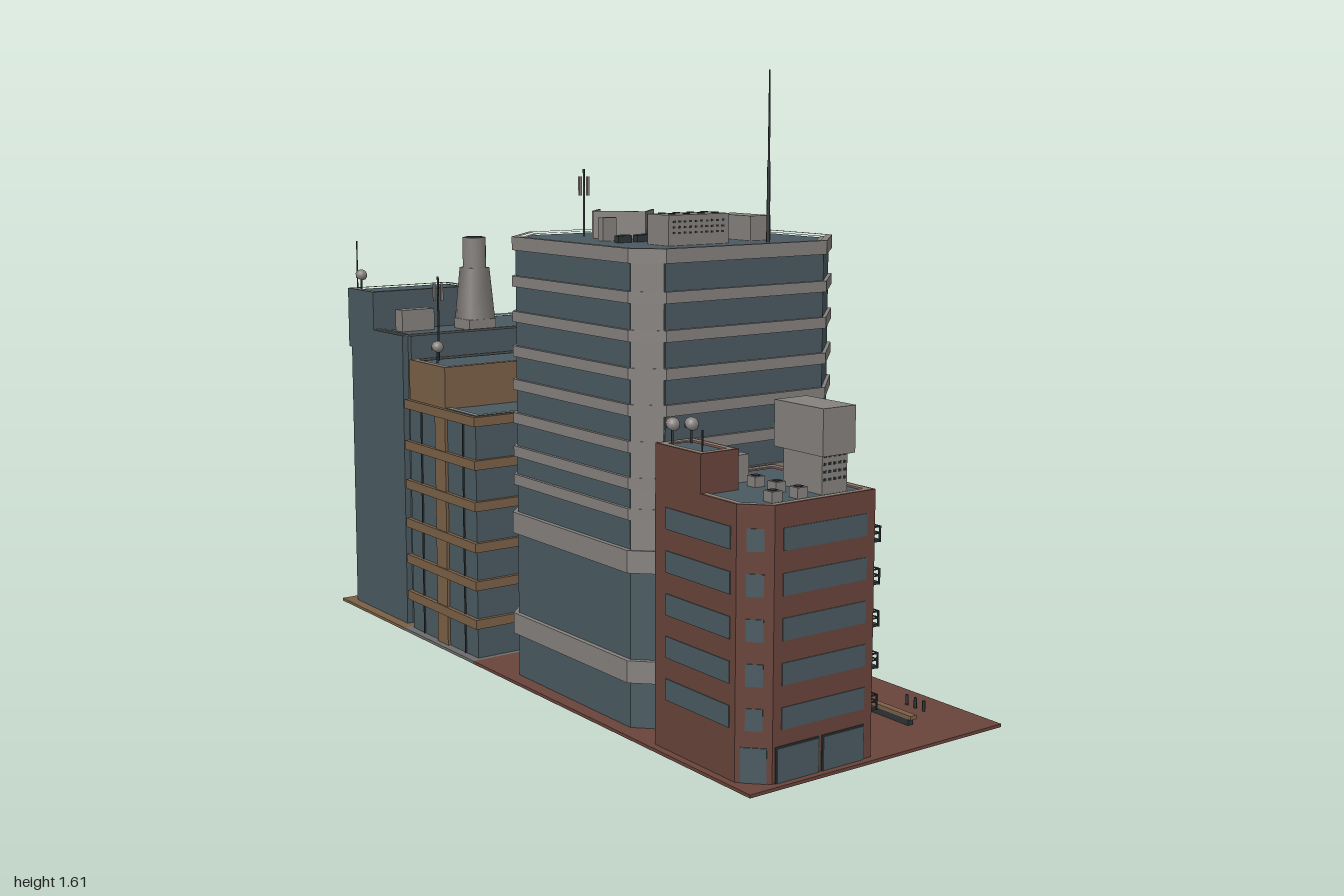
import * as THREE from 'three';

const mat = (name, color) => Object.assign(new THREE.MeshStandardMaterial({ color }), { name });
const glass = mat('slate teal', 0x4a5a60), grey = mat('concrete grey', 0x85817e), brick = mat('brick red', 0x68433a),
  tan = mat('tan stone', 0x7a6046), dark = mat('dark metal', 0x2e3436), paving = mat('paving grey', 0x6c6c6c);

function add(parent, name, geo, m, x = 0, y = 0, z = 0) {
  const mesh = new THREE.Mesh(geo, m);
  mesh.name = name;
  mesh.position.set(x, y, z);
  parent.add(mesh);
  return mesh;
}
// Box given by its limits
const box = (p, name, m, x0, x1, y0, y1, z0, z1) =>
  add(p, name, new THREE.BoxGeometry(x1 - x0, y1 - y0, z1 - z0), m, (x0 + x1) / 2, (y0 + y1) / 2, (z0 + z1) / 2);
// Box standing on y, centred on x and z
const unit = (p, name, m, x, y, z, w, h, d) => box(p, name, m, x - w / 2, x + w / 2, y, y + h, z - d / 2, z + d / 2);
const rod = (p, name, m, x, y0, y1, z, r, r2 = r, n = 8) =>
  add(p, name, new THREE.CylinderGeometry(r2, r, y1 - y0, n), m, x, (y0 + y1) / 2, z);

// Rectangle with cut corners c = [-x-z, +x-z, +x+z, -x+z], grown by g
function plan([x0, x1, z0, z1, c = [0, 0, 0, 0]], g = 0) {
  x0 -= g; x1 += g; z0 -= g; z1 += g;
  const [a, b, d, e] = c.map(v => (v ? Math.max(v + 0.586 * g, 0.002) : 0));
  const pts = [[x0, z0 + a], [x0 + a, z0], [x1 - b, z0], [x1, z0 + b], [x1, z1 - d], [x1 - d, z1], [x0 + e, z1], [x0, z1 - e]];
  return pts.filter((q, i) => { const r = pts[(i + 7) % 8]; return q[0] !== r[0] || q[1] !== r[1]; })
    .map(q => new THREE.Vector2(q[0], -q[1]));
}
function prism(p, name, m, foot, y0, y1, g = 0, hole = null) {
  const s = new THREE.Shape(plan(foot, g));
  if (hole !== null) s.holes.push(new THREE.Path(plan(foot, hole)));
  const geo = new THREE.ExtrudeGeometry(s, { depth: y1 - y0, bevelEnabled: false });
  return add(p, name, geo.rotateX(-Math.PI / 2), m, 0, y0, 0);
}
// Solid block with a teal roof and a raised grey coping set in from the edge
function block(p, name, m, foot, y0, y1, inset = 0.008, w = 0.012) {
  prism(p, name + 'Walls', m, foot, y0, y1 - 0.006);
  prism(p, name + 'Parapet', m, foot, y1 - 0.006, y1, 0, -inset);
  prism(p, name + 'Coping', grey, foot, y1 - 0.008, y1, -inset, -inset - w);
  prism(p, name + 'Roof', glass, foot, y1 - 0.007, y1 - 0.004, -inset - w);
}
function mast(p, x, y0, y1, z) {
  rod(p, 'mast', dark, x, y0, y1, z, 0.003);
  for (const s of [-1, 1]) unit(p, 'antennaPanel', grey, x + s * 0.009, y1 - 0.07, z + s * 0.005, 0.007, 0.05, 0.007);
}
function dish(p, x, y, z) {
  rod(p, 'dishPole', dark, x, y, y + 0.04, z, 0.003);
  const d = add(p, 'dish', new THREE.SphereGeometry(0.018, 12, 5, 0, Math.PI * 2, 0, Math.PI / 2), grey, x, y + 0.045, z);
  d.material = grey;
  d.rotation.set(0.9, 0.6, 0);
  rod(p, 'dishHub', dark, x, y + 0.038, y + 0.046, z, 0.016, 0.016, 12);
}
function vent(p, x, y, z, w = 0.03, h = 0.025, d = 0.03) {
  unit(p, 'roofVent', grey, x, y, z, w, h, d);
  unit(p, 'ventGrille', dark, x, y + h, z, w * 0.6, 0.002, d * 0.6);
}

function brickBuilding() {
  const g = new THREE.Group(); g.name = 'brickBuilding';
  block(g, 'brick', brick, [-0.38, -0.02, 0.617, 0.98, [0, 0, 0, 0.06]], 0, 0.648);
  block(g, 'stairHead', brick, [-0.38, -0.27, 0.617, 0.79], 0.64, 0.74);
  for (let i = 0; i < 5; i++) {
    const y = 0.13 + i * 0.103, h = y + 0.052;
    box(g, 'frontWindow', glass, -0.295, -0.045, y, h, 0.978, 0.982);
    box(g, 'sideWindow', glass, -0.022, -0.018, y, h, 0.9, 0.955);
    box(g, 'sideDoor', glass, -0.022, -0.018, y, h, 0.77, 0.87);
    box(g, 'leftWindow', glass, -0.382, -0.378, y, h, 0.66, 0.9);
    const c = unit(g, 'cornerWindow', glass, -0.35, y, 0.95, 0.04, 0.052, 0.004);
    c.rotation.y = -Math.PI / 4;
  }
  // Shop fronts
  for (const [a, b] of [[-0.312, -0.182], [-0.174, -0.044]]) {
    box(g, 'shopFrame', dark, a, b, 0.008, 0.093, 0.978, 0.982);
    box(g, 'shopWindow', glass, a + 0.004, b - 0.004, 0.008, 0.089, 0.979, 0.984);
  }
  unit(g, 'cornerDoor', glass, -0.35, 0.008, 0.95, 0.06, 0.083, 0.005).rotation.y = -Math.PI / 4;
  // Rooftop plant
  box(g, 'plantBase', grey, -0.153, -0.077, 0.64, 0.74, 0.81, 0.945);
  box(g, 'plantTop', grey, -0.165, -0.067, 0.735, 0.845, 0.79, 0.96);
  for (let i = 0; i < 5; i++) for (let j = 0; j < 4; j++)
    unit(g, 'plantGrille', dark, -0.145 + i * 0.015, 0.675 + j * 0.018, 0.945, 0.007, 0.006, 0.004);
  for (const [x, z] of [[-0.21, 0.78], [-0.21, 0.855], [-0.21, 0.93], [-0.285, 0.93]]) vent(g, x, 0.644, z);
  box(g, 'roofDuct', grey, -0.23, -0.19, 0.644, 0.71, 0.7, 0.73);
  dish(g, -0.355, 0.74, 0.65); dish(g, -0.3, 0.735, 0.65);
  rod(g, 'aerial', dark, -0.36, 0.74, 0.79, 0.77, 0.002);

  // Fire escape: landings at both ends, joined by zigzag flights
  const esc = new THREE.Group(); esc.name = 'fireEscape'; g.add(esc);
  for (let i = 0; i < 10; i++) {
    const y = 0.035 + i * 0.0515, far = i % 2, z0 = far ? 0.86 : 0.745, z1 = z0 + 0.05;
    box(esc, 'landing', dark, -0.02, 0.065, y, y + 0.006, z0, z1);
    for (const h of [0.02, 0.036]) {
      box(esc, 'outerRail', dark, 0.062, 0.065, y + h, y + h + 0.003, z0, z1);
      const ze = far ? z1 : z0;
      box(esc, 'endRail', dark, -0.02, 0.065, y + h, y + h + 0.003, ze - 0.002, ze + 0.002);
    }
    for (const z of [z0, z1]) box(esc, 'railPost', dark, 0.061, 0.065, y, y + 0.039, z - 0.002, z + 0.002);
    if (i === 9) continue;
    const xa = far ? -0.015 : 0.025;
    for (let k = 1; k < 7; k++) {
      const t = k / 7, z = far ? 0.86 - 0.065 * t : 0.795 + 0.065 * t;
      unit(esc, 'tread', glass, xa + 0.018, y + 0.0515 * t, z, 0.036, 0.004, 0.012);
    }
    for (const x of [xa, xa + 0.036]) {
      const s = add(esc, 'stringer', new THREE.BoxGeometry(0.003, 0.008, 0.085), dark, x, y + 0.028, 0.8275);
      s.rotation.x = (far ? 1 : -1) * 0.67;
    }
  }
  return g;
}

function tower() {
  const g = new THREE.Group(); g.name = 'tower';
  const foot = [-0.36, 0.35, -0.16, 0.548, [0.135, 0.07, 0.155, 0.06]];
  prism(g, 'towerWalls', glass, foot, 0, 1.176);
  // Floor bands, the lower two deeper
  for (const y of [1.055, 0.963, 0.872, 0.784, 0.695, 0.606, 0.53]) prism(g, 'floorBand', grey, foot, y, y + 0.028, 0.009);
  for (const y of [0.4, 0.125]) prism(g, 'deepBand', grey, foot, y, y + 0.056, 0.013);
  prism(g, 'topBand', grey, foot, 1.15, 1.185, 0.009, -0.008);
  prism(g, 'roofKerb', grey, foot, 1.17, 1.181, -0.008, -0.022);
  // Corner piers on the two narrow cut corners
  for (const [x, z, w] of [[0.315, -0.125, 0.095], [-0.33, 0.518, 0.08]])
    unit(g, 'cornerPier', grey, x, 0.42, z, w, 0.75, 0.016).rotation.y = -Math.PI / 4;
  // Roof equipment
  const y = 1.176;
  box(g, 'coolingUnit', grey, -0.172, 0.017, y, 1.252, 0.3, 0.388);
  for (let i = 0; i < 4; i++) for (let j = 0; j < 2; j++)
    unit(g, 'coolingFan', dark, -0.145 + i * 0.045, 1.252, 0.322 + j * 0.043, 0.016, 0.003, 0.01);
  for (let i = 0; i < 10; i++) for (let j = 0; j < 3; j++)
    unit(g, 'coolingGrille', dark, -0.155 + i * 0.017, 1.205 + j * 0.014, 0.388, 0.007, 0.005, 0.003);
  box(g, 'plantRoom', grey, 0.113, 0.18, y, 1.24, 0.205, 0.358);
  const screen = new THREE.Group(); screen.name = 'plantScreen';
  screen.position.set(-0.07, y, 0.05); screen.rotation.y = Math.PI / 4; g.add(screen);
  box(screen, 'screenWall', grey, -0.065, -0.059, 0, 0.072, -0.07, 0.07);
  for (const s of [-1, 1]) box(screen, 'screenWall', grey, -0.06, s > 0 ? 0.06 : 0.03, 0, 0.072, s * 0.07 - 0.003, s * 0.07 + 0.003);
  unit(g, 'roofCabinet', grey, -0.183, y, 0.138, 0.042, 0.06, 0.022);
  for (let i = 0; i < 4; i++) {
    unit(g, 'condenser', dark, -0.19 + i * 0.058, y, 0.22, 0.042, 0.018, 0.018);
    unit(g, 'condenserTop', glass, -0.19 + i * 0.058, y + 0.018, 0.22, 0.034, 0.002, 0.01);
  }
  for (const [x, z] of [[0.06, 0.008], [0.125, 0.008], [0.2, 0.008], [0.2, 0.075]]) vent(g, x, y, z, 0.028, 0.016, 0.028);
  rod(g, 'tallMastBase', dark, 0.12, y, 1.38, 0.42, 0.005, 0.004);
  rod(g, 'tallMast', dark, 0.12, 1.38, 1.61, 0.42, 0.003, 0.002);
  mast(g, -0.135, y, 1.355, -0.04);
  return g;
}

function bandedBuilding() {
  const g = new THREE.Group(); g.name = 'bandedBuilding';
  const foot = [-0.375, 0.37, -0.585, -0.215];
  block(g, 'banded', glass, foot, 0, 0.688);
  for (const y of [0.66, 0.54, 0.425, 0.31, 0.203, 0.094]) prism(g, 'tanBand', tan, foot, y, y + 0.026, 0.012, -0.008);
  // Tan piers
  for (const s of [-1, 1]) {
    const x = s > 0 ? 0.372 : -0.377;
    unit(g, 'widePier', tan, x, 0, -0.398, 0.012, 0.68, 0.058);
    for (const z of [-0.28, -0.515]) unit(g, 'mullion', dark, x, 0, z, 0.005, 0.66, 0.003);
  }
  block(g, 'penthouse', tan, [-0.375, 0.037, -0.585, -0.38], 0.66, 0.802);
  box(g, 'penthouseDoor', glass, 0.035, 0.039, 0.69, 0.76, -0.53, -0.5);
  const y = 0.684;
  for (let i = 0; i < 5; i++) unit(g, 'pipeVent', grey, 0.125 + i * 0.05, y, -0.52, 0.028, 0.05, 0.016);
  box(g, 'ventPipe', dark, 0.11, 0.33, y, y + 0.012, -0.523, -0.517);
  for (const [x, z] of [[0.305, -0.435], [0.23, -0.38], [0.23, -0.305], [0.155, -0.38], [0.085, -0.38]]) vent(g, x, y, z, 0.03, 0.03);
  rod(g, 'slimMast', dark, 0.3, y, 1.04, -0.415, 0.002);
  mast(g, -0.3, 0.798, 1.04, -0.545);
  dish(g, -0.33, 0.798, -0.5);
  dish(g, 0.31, y, -0.255);
  return g;
}

function rearBuilding() {
  const g = new THREE.Group(); g.name = 'rearBuilding';
  // Walls notched at the corners
  block(g, 'rear', glass, [-0.352, 0.35, -0.975, -0.615], 0, 0.865);
  prism(g, 'rearSides', glass, [-0.37, 0.368, -0.957, -0.633], 0, 0.865, 0, -0.014);
  prism(g, 'sideCoping', grey, [-0.36, 0.358, -0.957, -0.633], 0.863, 0.868, 0, -0.01);
  block(g, 'upperBlock', glass, [-0.37, -0.025, -0.975, -0.812], 0.8, 0.978);
  // Doors on the side and back
  box(g, 'sideGateFrame', dark, 0.367, 0.3695, 0.008, 0.1, -0.9, -0.69);
  box(g, 'sideGate', glass, 0.367, 0.371, 0.008, 0.097, -0.897, -0.693);
  for (const x of [-0.15, 0, 0.15]) {
    unit(g, 'backDoorFrame', dark, x, 0.008, -0.975, 0.12, 0.085, 0.004);
    unit(g, 'backDoor', glass, x, 0.008, -0.976, 0.112, 0.081, 0.006);
  }
  // Chimney tower
  const y = 0.861;
  unit(g, 'chimneyPlinth', grey, -0.08, y, -0.712, 0.092, 0.03, 0.092);
  rod(g, 'chimneyBase', grey, -0.08, y + 0.03, 1.045, -0.712, 0.062, 0.046, 4).rotation.y = Math.PI / 4;
  rod(g, 'chimneyStack', grey, -0.08, 1.045, 1.135, -0.712, 0.035, 0.035, 16);
  rod(g, 'chimneyOpening', dark, -0.08, 1.135, 1.137, -0.712, 0.026, 0.026, 16);
  box(g, 'ductHousing', grey, -0.308, -0.2, y, 0.925, -0.79, -0.748);
  for (const [x, z] of [[0.325, -0.893], [0.325, -0.79], [0.325, -0.692], [0.228, -0.692]]) vent(g, x, y, z, 0.042, 0.03, 0.036);
  mast(g, 0.335, y, 1.0, -0.955);
  rod(g, 'slimMast', dark, -0.345, 0.97, 1.12, -0.96, 0.002);
  dish(g, -0.34, 0.972, -0.945);
  return g;
}

export function createModel() {
  const model = new THREE.Group(); model.name = 'cityBlock';
  // Ground
  box(model, 'brickPlaza', brick, -0.4, 0.4, 0, 0.008, -0.2, 1);
  box(model, 'middleGround', paving, -0.4, 0.4, 0, 0.008, -0.6, -0.2);
  box(model, 'rearGround', tan, -0.4, 0.4, 0, 0.008, -1, -0.6);
  model.add(brickBuilding(), tower(), bandedBuilding(), rearBuilding());
  // Plaza benches and bollards
  for (const [x, z, w, d] of [[0.118, 0.617, 0.196, 0.02], [0.212, 0.79, 0.02, 0.19]]) {
    unit(model, 'benchBase', dark, x, 0.008, z, w * 0.9, 0.016, d * 0.9);
    unit(model, 'benchSeat', tan, x, 0.024, z, w, 0.01, d);
  }
  for (const z of [0.555, 0.58, 0.605, 0.76, 0.79, 0.82]) rod(model, 'bollard', dark, 0.312, 0.008, 0.035, z, 0.004);
  return model;
}
